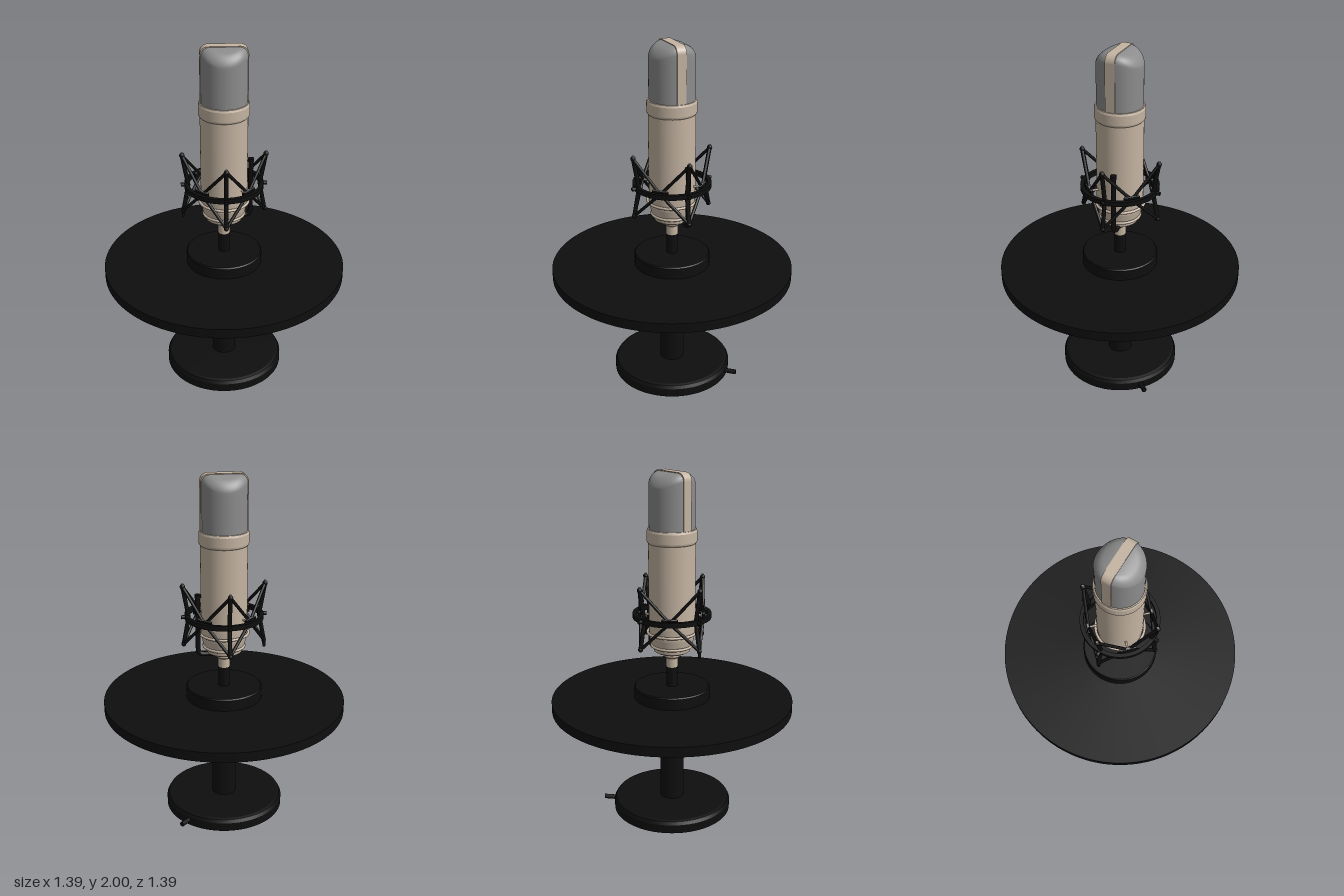
import * as THREE from 'three';

const mat = (name, color, side = THREE.FrontSide) => {
  const m = new THREE.MeshStandardMaterial({ color, side });
  m.name = name;
  return m;
};

export function createModel() {
  const black = mat('matte black', 0x0e0e0e);
  const cream = mat('champagne metal', 0xc4b4a2);
  const grey = mat('grille grey', 0x8c8c8c);
  const root = new THREE.Group();
  root.name = 'microphoneOnStand';

  const add = (name, geo, material, x = 0, y = 0, z = 0, parent = root) => {
    const m = new THREE.Mesh(geo, material);
    m.name = name;
    m.position.set(x, y, z);
    parent.add(m);
    return m;
  };
  // Lathe whose straight segments keep crisp edges: every point is doubled
  const lathe = (pts, seg = 64) => {
    const p = [];
    pts.forEach(([r, y], i) => {
      p.push(new THREE.Vector2(r, y));
      if (i > 0 && i < pts.length - 1) p.push(new THREE.Vector2(r, y));
    });
    return new THREE.LatheGeometry(p, seg);
  };
  const cyl = (r, h, seg = 32) => new THREE.CylinderGeometry(r, r, h, seg);
  // Straight rod between two points
  const rod = (name, a, b, r, material, parent) => {
    const d = b.clone().sub(a);
    const m = add(name, cyl(r, d.length(), 10), material, 0, 0, 0, parent);
    m.position.copy(a).addScaledVector(d, 0.5);
    m.quaternion.setFromUnitVectors(new THREE.Vector3(0, 1, 0), d.normalize());
    return m;
  };
  const polar = (r, a, y) => new THREE.Vector3(r * Math.cos(a), y, r * Math.sin(a));

  // Stand: base, column, round table and hub
  add('base', lathe([[0, 0], [0.345, 0], [0.345, 0.05], [0.335, 0.068], [0.32, 0.072], [0, 0.072]], 80), black);
  add('column', cyl(0.07, 0.54, 40), black, 0, 0.335, 0);
  add('tableTop', cyl(0.695, 0.056, 128), black, 0, 0.678, 0);
  add('hub', lathe([[0, 0.65], [0.218, 0.65], [0.218, 0.77], [0.212, 0.776], [0, 0.776]]), black);
  add('stem', cyl(0.033, 0.13, 24), black, 0, 0.835, 0);
  rod('cableStub', polar(0.3, -Math.PI / 4, 0.03), polar(0.41, -Math.PI / 4, 0.035), 0.014, black, root);

  // Clamp underneath the table, with its tightening knob
  const clamp = new THREE.Group();
  clamp.name = 'clamp';
  root.add(clamp);
  add('clampDisc', lathe([[0, 0.59], [0.19, 0.59], [0.205, 0.61], [0.225, 0.63], [0.225, 0.652], [0, 0.652]]), black, 0, 0, 0, clamp);
  add('clampArm', new THREE.BoxGeometry(0.16, 0.055, 0.25), black, 0, 0.623, 0.25, clamp);
  add('knobShaft', cyl(0.038, 0.03, 20), black, 0, 0.58, 0.275, clamp);
  add('knobTip', cyl(0.022, 0.03, 20), black, 0, 0.555, 0.275, clamp);
  for (const s of [-1, 1]) {
    const hinge = add('hinge', cyl(0.018, 0.12, 16), black, s * 0.215, 0.605, 0, clamp);
    hinge.rotation.x = Math.PI / 2;
  }

  // Microphone body
  const mic = new THREE.Group();
  mic.name = 'microphone';
  root.add(mic);
  add('connector', lathe([[0, 0.892], [0.034, 0.892], [0.034, 0.945], [0.047, 0.955], [0.047, 0.985], [0, 0.985]], 32), cream, 0, 0, 0, mic);
  add('body', lathe([[0, 0.98], [0.085, 0.98], [0.102, 0.99], [0.105, 1.015], [0.118, 1.035], [0.127, 1.075],
    [0.131, 1.14], [0.131, 1.63]]), cream, 0, 0, 0, mic);
  add('collar', lathe([[0.125, 1.605], [0.137, 1.617], [0.139, 1.625], [0.139, 1.678], [0.134, 1.69], [0, 1.692]]), cream, 0, 0, 0, mic);

  // Grille: a round-shouldered tube whose top slopes down to front and back
  const R = 0.127, H = 0.31, C = 0.045;
  const profile = [];
  for (let i = 0; i <= 8; i++) profile.push(new THREE.Vector2(R, (H - C) * i / 8));
  for (let i = 1; i <= 8; i++) {
    const a = i / 8 * Math.PI / 2;
    profile.push(new THREE.Vector2(R - C + C * Math.cos(a), H - C + C * Math.sin(a)));
  }
  for (let i = 1; i <= 6; i++) profile.push(new THREE.Vector2((R - C) * (1 - i / 6), H));
  const grilleGeo = new THREE.LatheGeometry(profile, 64);
  const pos = grilleGeo.attributes.position;
  for (let i = 0; i < pos.count; i++) {
    const t = pos.getZ(i) / R;
    pos.setY(i, pos.getY(i) * (1 - 0.15 * t * t));
  }
  grilleGeo.computeVertexNormals();
  add('grille', grilleGeo, grey, 0, 1.688, 0, mic);

  // Metal band running up and over the grille
  const w = R + 0.002, top = H + 0.002;
  const arch = new THREE.Shape();
  arch.moveTo(-w, 0);
  arch.lineTo(w, 0);
  arch.lineTo(w, top - C);
  arch.absarc(w - C, top - C, C, 0, Math.PI / 2, false);
  arch.lineTo(-w + C, top);
  arch.absarc(-w + C, top - C, C, Math.PI / 2, Math.PI, false);
  arch.lineTo(-w, 0);
  add('grilleBand', new THREE.ExtrudeGeometry(arch, { depth: 0.054, bevelEnabled: false, curveSegments: 10 }),
    cream, 0, 1.688, -0.027, mic);

  // Shock mount
  const mount = new THREE.Group();
  mount.name = 'shockMount';
  root.add(mount);
  add('outerRing', lathe([[0.2, 1.187], [0.222, 1.187], [0.222, 1.215], [0.2, 1.215], [0.2, 1.187]]), black, 0, 0, 0, mount);
  for (const [y, r] of [[1.1, 0.138], [1.022, 0.115]]) {
    const ring = add('cradleRing', new THREE.TorusGeometry(r, 0.008, 10, 64), cream, 0, y, 0, mount);
    ring.rotation.x = Math.PI / 2;
  }
  for (let i = 0; i < 4; i++) {
    const a = i * Math.PI / 2;
    const hi = polar(0.232, a, 1.38), mid = polar(0.2, a, 1.2), lo = polar(0.23, a, 1.04);
    // Bent post with a pin at its upper end, and a stud on the ring
    rod('postUpper', mid, hi, 0.012, black, mount);
    rod('postLower', mid, lo, 0.012, black, mount);
    add('postEnd', new THREE.SphereGeometry(0.015, 12, 8), black, hi.x, hi.y, hi.z, mount);
    add('postEnd', new THREE.SphereGeometry(0.014, 12, 8), black, lo.x, lo.y, lo.z, mount);
    add('pin', cyl(0.007, 0.01, 10), grey, hi.x, hi.y + 0.012, hi.z, mount);
    rod('ringStud', polar(0.2, a, 1.201), polar(0.242, a, 1.201), 0.011, black, mount);
    // Elastic cords to the clips on either diagonal
    for (const s of [-1, 1]) {
      const clip = polar(0.178, a + s * Math.PI / 4, 1.2);
      rod('cord', hi, clip, 0.009, black, mount);
      rod('cord', lo, clip, 0.009, black, mount);
    }
    // Clip and the spoke holding the cradle
    const d = a + Math.PI / 4;
    const c = polar(0.18, d, 1.2);
    const plate = add('clip', new THREE.BoxGeometry(0.014, 0.04, 0.09), black, c.x, c.y, c.z, mount);
    plate.rotation.y = -d;
    const cap = add('clipCap', new THREE.BoxGeometry(0.012, 0.004, 0.085), grey, c.x, c.y + 0.022, c.z, mount);
    cap.rotation.y = -d;
    rod('spoke', polar(0.13, d, 1.2), polar(0.178, d, 1.2), 0.006, cream, mount);
  }

  // Bent support arm beside the body, and a loose cord end
  const V = (x, y, z) => new THREE.Vector3(x, y, z);
  const path = new THREE.CurvePath();
  path.add(new THREE.LineCurve3(V(0.152, 1.33, -0.03), V(0.152, 1.02, -0.03)));
  path.add(new THREE.QuadraticBezierCurve3(V(0.152, 1.02, -0.03), V(0.152, 0.985, -0.03), V(0.115, 0.985, -0.03)));
  path.add(new THREE.LineCurve3(V(0.115, 0.985, -0.03), V(0.06, 0.985, -0.03)));
  add('supportArm', new THREE.TubeGeometry(path, 48, 0.014, 10), black, 0, 0, 0, mount);
  add('supportArmTip', cyl(0.018, 0.02, 14), black, 0.152, 1.33, -0.03, mount);
  rod('cordEnd', V(-0.23, 1.04, 0), V(-0.232, 1.0, 0), 0.009, black, mount);

  return root;
}
